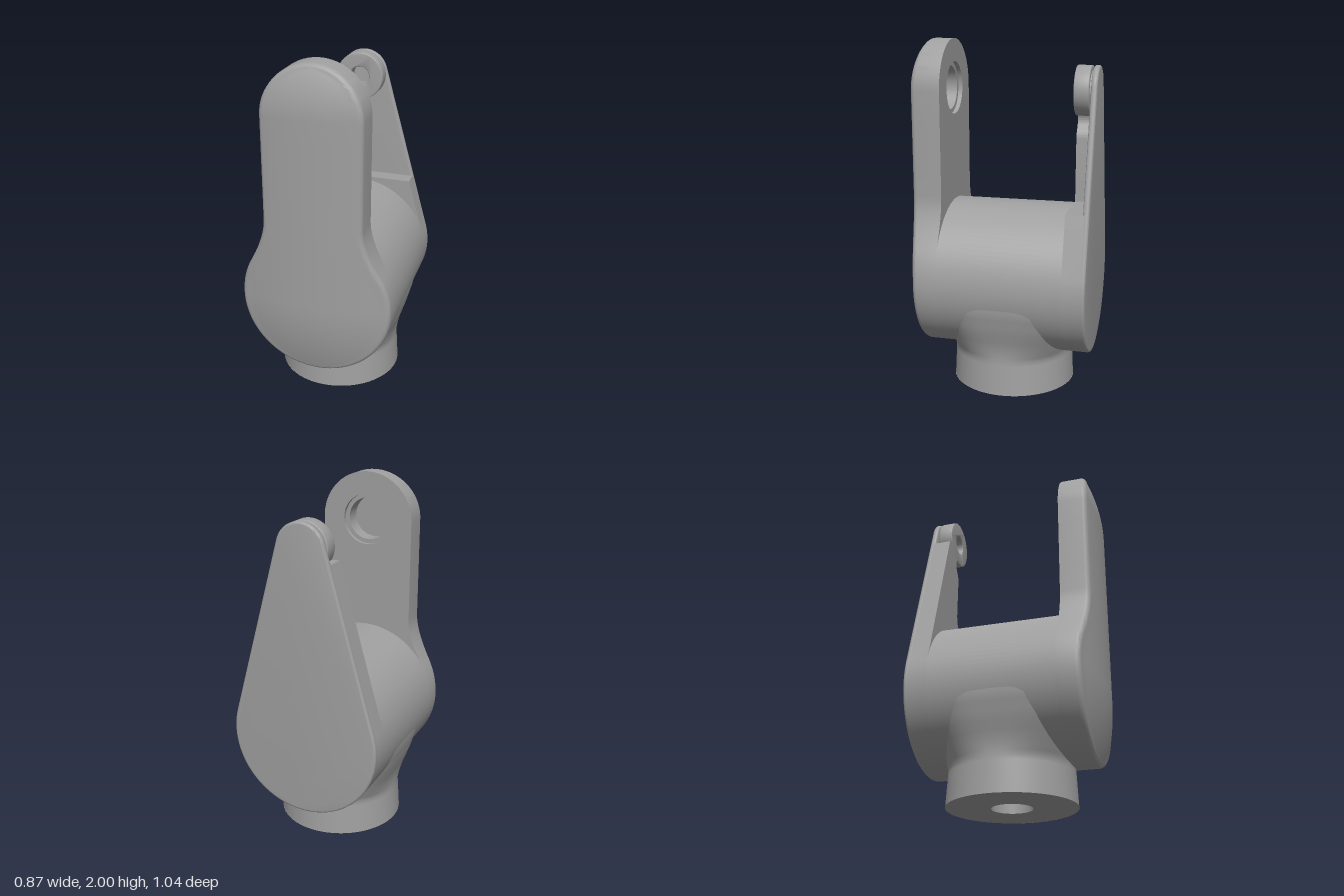
import * as THREE from 'three';
import { toCreasedNormals } from 'three/addons/utils/BufferGeometryUtils.js';

const BARREL_Y = 0.635, R = 0.435;   // barrel axis height and radius
const PIN_Y = 1.72;                  // height of the pin holes
const FRONT = 0.325, BACK = -0.39;   // inner faces of the two cheeks

const V = (x, y) => new THREE.Vector2(x, y);

// Points on an arc, angles in degrees
function arc(cy, r, a0, a1, n) {
  return Array.from({ length: n + 1 }, (_, i) => {
    const a = THREE.MathUtils.degToRad(a0 + (a1 - a0) * i / n);
    return V(r * Math.cos(a), cy + r * Math.sin(a));
  });
}

// Right half of the front arm, bottom to top
function armHalf() {
  const fillet = new THREE.QuadraticBezierCurve(V(0.377, 0.8525), V(0.28, 1.02), V(0.28, 1.13)).getPoints(10);
  const straight = [1.28, 1.43, 1.58].map(y => V(0.28, y));
  return [...arc(BARREL_Y, R, -90, 30, 32), ...fillet.slice(1), ...straight, ...arc(PIN_Y, 0.28, 0, 90, 20)];
}

// Height of the domed front of the arm
function domeZ(x, y) {
  const low = Math.max(0, BARREL_Y - y) / R, high = Math.max(0, y - PIN_Y) / 0.28;
  return 0.52 - 0.07 * ((x / R) ** 2 + low ** 2 + high ** 2);
}

// Side wall, rounded rim and domed front of the arm
function armShell(half) {
  const loop = [...half, ...half.slice(1, -1).reverse().map(p => V(-p.x, p.y))];
  const n = loop.length, bevel = 0.03, steps = 5, cols = 16, pos = [];
  const quad = (a, b, c, d) => pos.push(...a, ...b, ...c, ...a, ...c, ...d);
  const inset = (i, s) => {
    const t = loop[(i + 1) % n].clone().sub(loop[(i + n - 1) % n]).normalize();
    return V(loop[i].x - t.y * s, loop[i].y + t.x * s);
  };
  const rings = [loop.map(p => [p.x, p.y, FRONT])];
  for (let k = 0; k <= steps; k++) {
    const a = k / steps * Math.PI / 2;
    rings.push(loop.map((_, i) => {
      const q = inset(i, bevel * (1 - Math.cos(a))), e = inset(i, bevel);
      return [q.x, q.y, domeZ(e.x, e.y) - bevel * (1 - Math.sin(a))];
    }));
  }
  for (let r = 0; r < rings.length - 1; r++)
    for (let i = 0; i < n; i++) {
      const j = (i + 1) % n;
      quad(rings[r][i], rings[r][j], rings[r + 1][j], rings[r + 1][i]);
    }
  // Dome spans from the right rim to the left rim, row by row
  const rim = rings[rings.length - 1];
  const at = (i, c) => {
    const x = rim[i][0] * (1 - 2 * c / cols), y = rim[i][1];
    return [x, y, domeZ(x, y)];
  };
  for (let i = 0; i < half.length - 1; i++)
    for (let c = 0; c < cols; c++) quad(at(i, c), at(i, c + 1), at(i + 1, c + 1), at(i + 1, c));
  for (let k = 0; k < pos.length; k += 9) {
    // keep every triangle of the dome and wall facing outward
    const [a, b, c] = [0, 3, 6].map(o => new THREE.Vector3(pos[k + o], pos[k + o + 1], pos[k + o + 2]));
    const nz = b.clone().sub(a).cross(c.clone().sub(a)).z;
    if (nz < -1e-9) for (let m = 0; m < 3; m++) [pos[k + 3 + m], pos[k + 6 + m]] = [pos[k + 6 + m], pos[k + 3 + m]];
  }
  const g = new THREE.BufferGeometry();
  g.setAttribute('position', new THREE.Float32BufferAttribute(pos, 3));
  return toCreasedNormals(g, 0.7);
}

// Blind hole from profile [radius, depth], deepest point first
const pit = profile => toCreasedNormals(new THREE.LatheGeometry(profile.map(p => V(...p)), 48), 0.5);

// Straight extrusion between two z values
function slab(shape, z0, z1, bevel = 0) {
  const g = new THREE.ExtrudeGeometry(shape, {
    depth: z1 - z0 - 2 * bevel, bevelEnabled: bevel > 0, bevelThickness: bevel,
    bevelSize: bevel, bevelOffset: -bevel, bevelSegments: 3, curveSegments: 48,
  });
  g.translate(0, 0, z0 + bevel);
  return toCreasedNormals(g, 0.6);
}

function circleHole(shape, y, r) {
  shape.holes.push(new THREE.Path().absarc(0, y, r, 0, Math.PI * 2, true));
  return shape;
}

// Piecewise linear lookup
function lookup(keys, y) {
  for (let i = 1; i < keys.length; i++)
    if (y <= keys[i][0]) return THREE.MathUtils.mapLinear(y, keys[i - 1][0], keys[i][0], keys[i - 1][1], keys[i][1]);
  return keys[keys.length - 1][1];
}

// Round foot blending into the squarer underside of the barrel
function footGeometry() {
  const g = new THREE.CylinderGeometry(1, 1, 0.6, 96, 24, true).translate(0, 0.3, 0);
  const p = g.attributes.position;
  const wide = [[0, 0.363], [0.2, 0.35], [0.25, 0.353], [0.3, 0.363], [0.4, 0.395], [0.5, 0.42], [0.6, 0.43]];
  const deep = [[0, 0.36], [0.2, 0.35], [0.3, 0.354], [0.6, 0.356]];
  for (let i = 0; i < p.count; i++) {
    const x = p.getX(i), y = p.getY(i), z = p.getZ(i);
    const e = 2 / lookup([[0, 2], [0.2, 2], [0.6, 5]], y);
    p.setX(i, lookup(wide, y) * Math.sign(x) * Math.abs(x) ** e);
    p.setZ(i, lookup(deep, y) * Math.sign(z) * Math.abs(z) ** e - 0.033);
  }
  return toCreasedNormals(g, 0.7);
}

export function createModel() {
  const model = new THREE.Group();
  const grey = new THREE.MeshStandardMaterial({ color: 0xa0a0a0, side: THREE.DoubleSide });
  grey.name = 'plain grey';
  const add = (name, geometry, parent = model) => {
    const m = new THREE.Mesh(geometry, grey);
    m.name = name;
    parent.add(m);
    return m;
  };
  const group = name => {
    const g = new THREE.Group();
    g.name = name;
    model.add(g);
    return g;
  };

  // Barrel
  const barrel = new THREE.CylinderGeometry(R, R, FRONT - BACK, 96).rotateX(Math.PI / 2);
  add('barrel', barrel.translate(0, BARREL_Y, (FRONT + BACK) / 2));

  // Foot with a blind hole underneath
  const foot = group('foot');
  add('footBody', footGeometry(), foot);
  add('footUnderside', new THREE.RingGeometry(0.115, 0.362, 96, 1).rotateX(Math.PI / 2).translate(0, 0, -0.033), foot);
  add('footHole', pit([[0, 0.15], [0.115, 0.15], [0.115, 0]]).translate(0, 0, -0.033), foot);

  // Front arm with a stepped hole on its inner face
  const arm = group('frontArm');
  const half = armHalf();
  add('armShell', armShell(half), arm);
  const inner = new THREE.Shape([...half, ...half.slice(1, -1).reverse().map(p => V(-p.x, p.y))]);
  add('armInnerFace', new THREE.ShapeGeometry(circleHole(inner, PIN_Y, 0.15), 48).rotateY(Math.PI).translate(0, 0, FRONT), arm);
  add('armHole', pit([[0, 0.12], [0.125, 0.12], [0.125, 0.025], [0.15, 0.025], [0.15, 0]])
    .rotateX(Math.PI / 2).translate(0, PIN_Y, FRONT), arm);

  // Back cheek: thin teardrop plate
  const cheek = group('backCheek');
  const tipR = 0.14, tilt = 15.8;
  const bottom = arc(BARREL_Y, R, -180 - tilt, tilt, 64);
  const tear = new THREE.Shape([...bottom, ...arc(PIN_Y, tipR, tilt, 180 - tilt, 32)]);
  add('teardropPlate', slab(tear, -0.52, -0.485, 0.012), cheek);

  // Full-depth lower part, cut off level above the barrel
  const edgeX = y => 0.4186 - (y - 0.753) * 0.2825;
  const lower = new THREE.Shape([...bottom, V(edgeX(1.085), 1.085), V(-edgeX(1.085), 1.085)]);
  add('lowerCheek', slab(lower, -0.506, BACK), cheek);

  // Raised web on the right-hand side, leading up to the pin boss
  const web = new THREE.Shape();
  web.moveTo(-edgeX(1.05), 1.05);
  web.lineTo(0, 1.05);
  web.lineTo(0, 1.44);
  web.quadraticCurveTo(0, 1.48, -0.025, 1.505);
  web.quadraticCurveTo(-0.06, 1.55, -0.03, 1.59);
  web.lineTo(-0.09, 1.65);
  web.lineTo(-edgeX(1.65), 1.65);
  add('raisedWeb', slab(web, -0.506, BACK), cheek);

  // Pin boss, held just clear of the plate by a smaller spacer
  const disc = r => circleHole(new THREE.Shape().absarc(0, PIN_Y, r, 0, Math.PI * 2, false), PIN_Y, 0.058);
  add('pinBoss', slab(disc(tipR), -0.475, BACK, 0.005), cheek);
  add('bossSpacer', slab(disc(0.11), -0.49, -0.47), cheek);

  return model;
}
